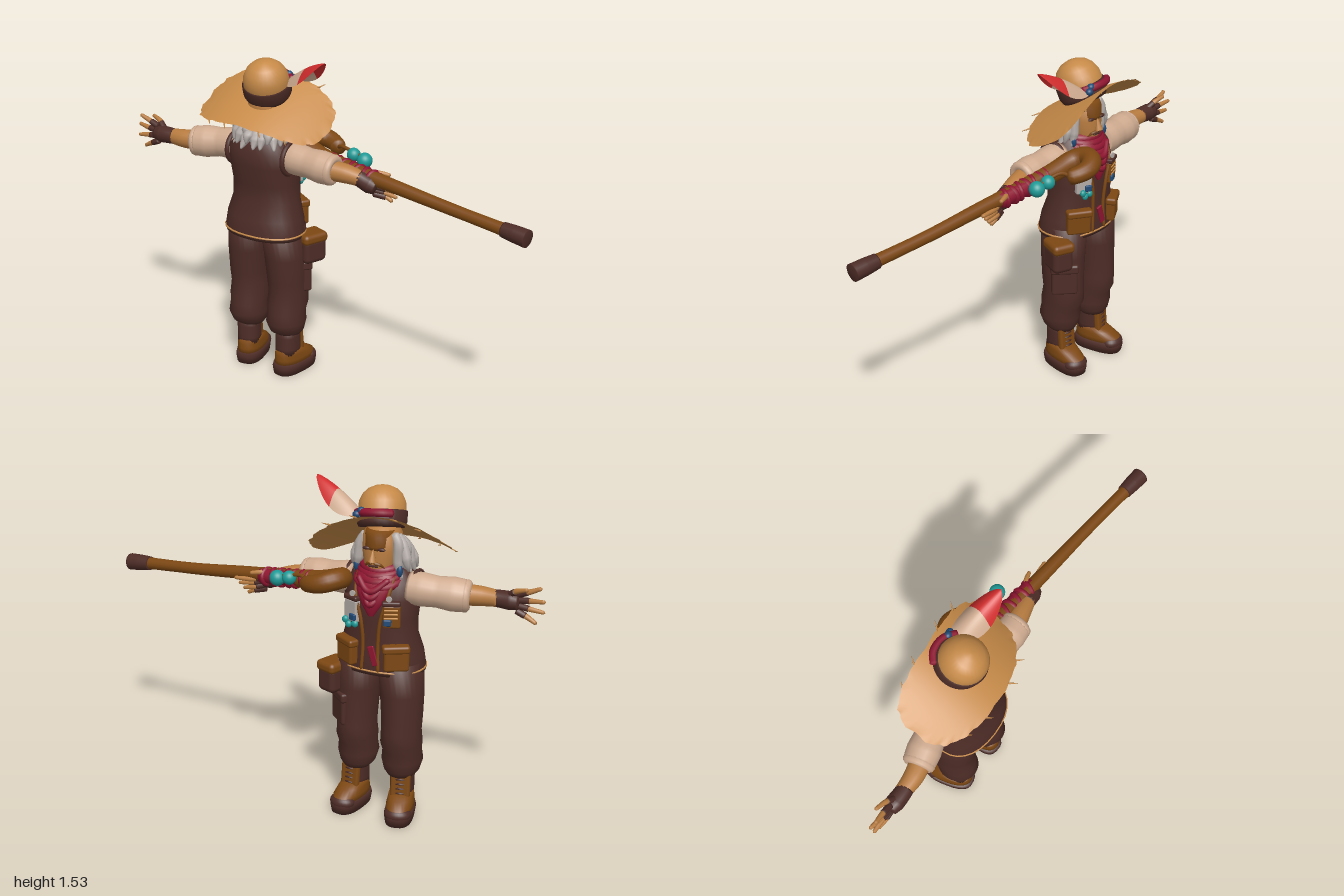
import * as THREE from 'three';
import { mergeVertices } from 'three/addons/utils/BufferGeometryUtils.js';
import { RoundedBoxGeometry } from 'three/addons/geometries/RoundedBoxGeometry.js';

const mat = (name, color, side = THREE.FrontSide) => {
  const m = new THREE.MeshStandardMaterial({ color, side });
  m.name = name;
  return m;
};
const M = {
  straw: mat('straw', 0xc68a48, THREE.DoubleSide),
  skin: mat('skin', 0xb87c40),
  dark: mat('dark brown cloth', 0x4d2c26),
  wood: mat('brown leather and wood', 0x7c4712),
  crimson: mat('crimson cloth', 0x8e1530, THREE.DoubleSide),
  teal: mat('teal', 0x1f9a96),
  cream: mat('cream cloth', 0xcfab90, THREE.DoubleSide),
  grey: mat('grey hair', 0xb4aca8),
  red: mat('bright red', 0xd02c2c, THREE.DoubleSide),
  blue: mat('blue', 0x214a75),
};
const V = (p) => new THREE.Vector3(...p);
const pw = (v, p) => Math.sign(v) * Math.abs(v) ** p;

function smooth(g) {
  g.deleteAttribute('uv');
  g.deleteAttribute('normal');
  g = mergeVertices(g, 1e-5);
  g.computeVertexNormals();
  return g;
}

// Upright body from elliptical rings [y, cx, cz, rx, rz]; p below 1 squares the section
function loft(rings, p = 1, sides = 28) {
  const all = [rings[0], ...rings, rings[rings.length - 1]];
  const n = all.length;
  const g = new THREE.LatheGeometry(all.map((r, j) => new THREE.Vector2(j && j < n - 1 ? 1 : 0, r[0])), sides);
  const a = g.attributes.position;
  for (let i = 0; i < a.count; i++) {
    const [y, cx, cz, rx, rz] = all[i % n];
    a.setXYZ(i, cx + pw(a.getX(i), p) * rx, y, cz + pw(a.getZ(i), p) * rz);
  }
  return smooth(g);
}

// Closed tube along a curve with changing radius
function sweep(pts, radii, sides = 12, segs = pts.length * 6) {
  const curve = new THREE.CatmullRomCurve3(pts.map(V));
  const g = new THREE.TubeGeometry(curve, segs, 1, sides);
  const a = g.attributes.position, v = new THREE.Vector3();
  for (let i = 0; i <= segs; i++) {
    const c = curve.getPointAt(i / segs);
    const f = (i / segs) * (radii.length - 1), k = Math.min(Math.floor(f), radii.length - 2);
    const r = i === 0 || i === segs ? 0 : THREE.MathUtils.lerp(radii[k], radii[k + 1], f - k);
    for (let j = 0; j <= sides; j++) {
      const n = i * (sides + 1) + j;
      v.fromBufferAttribute(a, n).sub(c).multiplyScalar(r).add(c);
      a.setXYZ(n, v.x, v.y, v.z);
    }
  }
  return smooth(g);
}

function add(parent, name, geo, material, pos = [0, 0, 0], rot = [0, 0, 0], scale = [1, 1, 1]) {
  const m = new THREE.Mesh(geo, material);
  m.name = name;
  m.position.set(...pos);
  m.rotation.set(...rot);
  m.scale.set(...scale);
  parent.add(m);
  return m;
}
const box = (x, y, z, r = 0.012) => new RoundedBoxGeometry(x, y, z, 3, r);
const ball = new THREE.SphereGeometry(1, 24, 16);

function buildLegs(body) {
  for (const s of [1, -1]) {
    const z = 0.108 * s;
    add(body, 'trouserLeg', loft([
      [0.2, 0, z, 0.06, 0.06], [0.225, -0.01, z, 0.085, 0.08], [0.27, -0.015, z, 0.1, 0.092],
      [0.32, -0.01, z, 0.096, 0.086], [0.36, 0, z, 0.105, 0.092], [0.42, 0.005, z, 0.1, 0.088],
      [0.48, 0, z, 0.103, 0.09], [0.6, -0.005, z * 0.96, 0.108, 0.096], [0.75, -0.01, z * 0.85, 0.115, 0.1]]), M.dark);
    const boot = new THREE.Group();
    boot.name = 'boot';
    boot.position.set(0.012, 0, 0.118 * s);
    boot.rotation.y = s > 0 ? -0.12 : 0.25;
    body.add(boot);
    add(boot, 'sole', loft([[0, 0.02, 0, 0.118, 0.062], [0.035, 0.02, 0, 0.124, 0.067], [0.055, 0.02, 0, 0.118, 0.063]], 0.75), M.dark);
    add(boot, 'bootUpper', loft([[0.045, 0.02, 0, 0.115, 0.061], [0.075, 0.018, 0, 0.112, 0.061], [0.1, -0.002, 0, 0.09, 0.057],
      [0.12, -0.02, 0, 0.065, 0.053]], 0.85), M.wood);
    add(boot, 'bootShaft', loft([[0.1, -0.026, 0, 0.062, 0.053], [0.13, -0.024, 0, 0.059, 0.054], [0.19, -0.024, 0, 0.059, 0.055], [0.24, -0.022, 0, 0.056, 0.054]], 0.85), M.dark);
    add(boot, 'tongue', box(0.03, 0.13, 0.09), M.wood, [0.027, 0.16, 0], [0, 0, 0.1]);
    add(boot, 'toeCap', ball, M.dark, [0.094, 0.048, 0], [0, 0, 0], [0.049, 0.036, 0.06]);
    for (let i = 0; i < 4; i++)
      add(boot, 'lace', sweep([[0.036 - i * 0.002, 0.12 + i * 0.022, -0.03], [0.047 - i * 0.002, 0.125 + i * 0.022, 0], [0.036 - i * 0.002, 0.12 + i * 0.022, 0.03]], [0.005, 0.005], 6), M.dark);
  }
  // thigh pocket
  add(body, 'thighPocket', box(0.12, 0.14, 0.05), M.dark, [0.055, 0.495, 0.16], [0, 0.85, 0]);
  add(body, 'thighPocketFlap', box(0.13, 0.045, 0.06), M.dark, [0.055, 0.555, 0.16], [0, 0.85, 0]);
}

function buildTorso(body) {
  add(body, 'vest', loft([[0.7, -0.02, 0, 0.135, 0.195], [0.72, -0.02, 0, 0.138, 0.197], [0.79, -0.015, 0, 0.13, 0.188],
    [0.87, -0.005, 0, 0.114, 0.165], [0.95, -0.005, 0, 0.118, 0.162], [1.04, -0.015, 0, 0.125, 0.168],
    [1.11, -0.025, 0, 0.113, 0.165], [1.16, -0.025, 0, 0.085, 0.125], [1.19, -0.02, 0, 0.055, 0.06]], 0.9), M.dark);
  add(body, 'hemTrim', loft([[0.714, -0.02, 0, 0.138, 0.197], [0.716, -0.02, 0, 0.142, 0.201], [0.721, -0.02, 0, 0.142, 0.201], [0.723, -0.02, 0, 0.137, 0.196]], 0.9), M.straw);
  for (const s of [1, -1]) {
    add(body, 'vestEdge', sweep([[0.115, 0.71, 0.04 * s], [0.11, 0.84, 0.035 * s], [0.114, 0.95, 0.045 * s], [0.105, 1.06, 0.075 * s], [0.06, 1.15, 0.085 * s]], [0.008, 0.008], 8), M.wood);
    add(body, 'hipPocket', box(0.045, 0.1, 0.11), M.wood, [0.095, 0.785, 0.115 * s], [0, -0.55 * s, 0]);
    add(body, 'hipPocketFlap', box(0.05, 0.035, 0.12), M.wood, [0.1, 0.835, 0.115 * s], [0, -0.55 * s, 0]);
    add(body, 'chestPocket', box(0.03, 0.1, 0.075, 0.008), s > 0 ? M.grey : M.wood, [0.1, 0.98, 0.092 * s], [0, -0.4 * s, 0]);
    add(body, 'chestPocketFlap', box(0.03, 0.022, 0.08, 0.008), M.dark, [0.106, 1.038, 0.092 * s], [0, -0.4 * s, 0]);
    add(body, 'badge', new THREE.CylinderGeometry(0.013, 0.013, 0.008, 16), M.grey, [0.115, 1.06, 0.085 * s], [0, 0, Math.PI / 2]);
    add(body, 'bluePatch', box(0.02, 0.03, 0.035, 0.006), M.blue, [0.119, 0.955, 0.08 * s], [0, -0.4 * s, 0]);
    add(body, 'armholeTrim', new THREE.TorusGeometry(0.072, 0.011, 8, 24), M.dark, [-0.025, 1.08, 0.152 * s]);
  }
  for (const [y, z] of [[0.925, 0.07], [0.92, 0.1], [0.94, 0.115]])
    add(body, 'tealCharm', ball, M.teal, [0.12, y, z], [0, 0, 0], [0.012, 0.016, 0.015]);
  for (let i = 0; i < 3; i++)
    add(body, 'pocketStripe', box(0.012, 0.008, 0.06, 0.003), M.straw, [0.113, 0.975 + i * 0.018, -0.094], [0, 0.4, 0]);
  add(body, 'waistRag', box(0.012, 0.09, 0.03, 0.004), M.crimson, [0.115, 0.79, -0.015], [0.3, 0, 0]);
  // side pouch
  add(body, 'pouch', box(0.12, 0.12, 0.1, 0.025), M.dark, [0.055, 0.63, 0.2], [0, -0.35, 0]);
  add(body, 'pouchFlap', box(0.13, 0.05, 0.108, 0.02), M.wood, [0.056, 0.69, 0.2], [0, -0.35, 0]);
  // scarf: stacked folds and a hanging front
  for (let i = 0; i < 4; i++)
    add(body, 'scarfFold', new THREE.TorusGeometry(0.068 + i * 0.006, 0.022, 10, 28), M.crimson, [0.005 + i * 0.006, 1.175 - i * 0.017, 0], [Math.PI / 2, -0.15 - 0.06 * i, 0], [1, 1.08, 1]);
  add(body, 'scarfFront', loft([[0.97, 0.112, 0, 0.006, 0.012], [1.02, 0.108, 0, 0.022, 0.045], [1.08, 0.09, 0, 0.038, 0.078], [1.15, 0.06, 0, 0.04, 0.085]]), M.crimson);
  for (let i = 0; i < 3; i++)
    add(body, 'scarfCrease', sweep([[0.09, 1.14 - i * 0.03, -0.075 + i * 0.015], [0.128, 1.085 - i * 0.03, 0], [0.09, 1.14 - i * 0.03, 0.075 - i * 0.015]], [0.012, 0.015, 0.012], 8), M.crimson);
}

function buildHead(body) {
  add(body, 'head', loft([[1.135, 0.05, 0, 0.02, 0.025], [1.155, 0.035, 0, 0.055, 0.052], [1.19, 0.018, 0, 0.075, 0.072],
    [1.25, 0.008, 0, 0.086, 0.083], [1.31, 0, 0, 0.088, 0.084], [1.35, -0.01, 0, 0.06, 0.06]]), M.skin);
  add(body, 'browShade', loft([[1.255, 0.012, 0, 0.084, 0.06], [1.27, 0.012, 0, 0.087, 0.07], [1.31, 0.008, 0, 0.089, 0.07], [1.335, 0.006, 0, 0.08, 0.065]]), M.wood);
  add(body, 'nose', new THREE.ConeGeometry(0.018, 0.06, 10), M.skin, [0.1, 1.238, 0], [0, 0, 0.2]);
  add(body, 'mouth', box(0.008, 0.009, 0.045, 0.003), M.dark, [0.094, 1.187, 0]);
  for (const s of [1, -1]) {
    add(body, 'eye', ball, M.dark, [0.089, 1.262, 0.034 * s], [0, 0, 0], [0.009, 0.008, 0.018]);
    add(body, 'ear', ball, M.skin, [0, 1.245, 0.086 * s], [0, 0, 0], [0.018, 0.03, 0.014]);
    add(body, 'moustache', sweep([[0.1, 1.202, 0.004 * s], [0.092, 1.197, 0.026 * s], [0.076, 1.178, 0.046 * s]], [0.007, 0.007, 0.002], 6), M.wood);
    add(body, 'earBead', ball, M.blue, [0.045, 1.165, 0.1 * s], [0, 0, 0], [0.014, 0.026, 0.014]);
  }
  // hair cap and loose locks round the sides and back, kept below the tilted hat
  add(body, 'hairCap', ball, M.grey, [-0.025, 1.22, 0], [0, 0, 0], [0.08, 0.06, 0.088]);
  for (let i = 0; i < 19; i++) {
    const a = 0.95 + (i / 18) * (2 * Math.PI - 1.9), c = Math.cos(a), s = Math.sin(a), d = 0.018 * Math.sin(i * 2.3);
    const top = 1.29 + 0.05 * c - 0.008 * s;
    add(body, 'hairLock', sweep([[-0.01 + 0.07 * c, top, 0.075 * s], [-0.02 + 0.095 * c, top - 0.045, 0.106 * s],
      [-0.02 + (0.105 + d) * c, 1.19, (0.118 + d) * s], [-0.03 + 0.125 * c, 1.14 + d, 0.138 * s]], [0.02, 0.024, 0.023, 0.004], 8), M.grey);
  }
}

function buildHat(body) {
  const hat = new THREE.Group();
  hat.name = 'hat';
  hat.position.set(-0.012, 1.315, 0);
  hat.rotation.set(0.1, 0.1, 0.48, 'YXZ');
  body.add(hat);
  // brim: long squared oval, drooping at the sides, with a frayed edge
  const brim = new THREE.RingGeometry(0.2, 1, 96, 12);
  const a = brim.attributes.position;
  for (let i = 0; i < a.count; i++) {
    const r = Math.hypot(a.getX(i), a.getY(i)), t = Math.atan2(-a.getY(i), a.getX(i));
    const fray = r > 0.99 ? 1 + 0.012 * Math.sin(t * 17) + 0.01 * Math.sin(t * 29) : 1;
    const x = r * pw(Math.cos(t), 0.65), z = r * pw(Math.sin(t), 0.75);
    a.setXYZ(i, x * 0.188 * fray, 0.022 - 0.1 * z * z - 0.005 * x * x, z * 0.312 * fray);
  }
  add(hat, 'brim', smooth(brim), M.straw);
  for (let i = 0; i < 8; i++) {
    const t = (i < 4 ? -0.7 : 2.6) + (i % 4) * 0.4, c = pw(Math.cos(t), 0.65), s = pw(Math.sin(t), 0.75);
    const y = 0.016 - 0.095 * s * s;
    add(hat, 'looseStraw', sweep([[0.18 * c, y, 0.3 * s], [0.22 * c, y + 0.004, 0.305 * s + 0.03]], [0.005, 0.001], 5, 4), M.straw);
  }
  const top = new THREE.Group();
  top.name = 'crown';
  top.position.set(0.04, 0.024, 0);
  top.rotation.z = -0.16;
  hat.add(top);
  add(top, 'crownDome', loft([[0.03, 0, 0, 0.104, 0.1], [0.055, -0.003, 0, 0.105, 0.102], [0.09, -0.004, 0, 0.101, 0.099], [0.122, -0.005, 0, 0.085, 0.084],
    [0.145, -0.005, 0, 0.06, 0.06], [0.158, -0.005, 0, 0.028, 0.028], [0.161, -0.005, 0, 0.005, 0.005]]), M.straw);
  add(top, 'hatBand', loft([[-0.018, 0, 0, 0.1, 0.098], [0.005, 0, 0, 0.111, 0.108], [0.05, -0.003, 0, 0.111, 0.108], [0.055, -0.003, 0, 0.104, 0.101]]), M.dark);
  add(top, 'bandRibbon', sweep([[0.07, 0.04, 0.09], [0.11, 0.038, 0.035], [0.113, 0.036, -0.035], [0.08, 0.036, -0.082]], [0.017, 0.017], 8), M.crimson);
  for (const [y, z] of [[0.03, 0.075], [0.045, 0.055]])
    add(top, 'hatBead', ball, M.blue, [0.102, y, z], [0, 0, 0], [0.016, 0.016, 0.018]);
}

// Feather as a cupped leaf; one piece per colour
function feather(from, to) {
  const g = new THREE.PlaneGeometry(1, 1, 14, 14), a = g.attributes.position;
  for (let i = 0; i < a.count; i++) {
    const u = a.getX(i) * 2, t = THREE.MathUtils.lerp(from, to, a.getY(i) + 0.5);
    const w = 0.064 * Math.sin(Math.PI * Math.min(1, 0.08 + t * 0.92)) ** 0.6;
    a.setXYZ(i, 0.058 - 0.02 * t + u * w, 1.395 + 0.21 * t - 0.075 * t * t - 0.065 * u * u * Math.sin(Math.PI * t), -0.26 + 0.25 * t);
  }
  return smooth(g);
}

function buildArms(root) {
  const arm = (name, sleeve, fore, glove) => {
    add(root, name + 'Sleeve', sweep(sleeve, [0.07, 0.073, 0.067, 0.074, 0.068], 18, 24), M.cream);
    const [p, q] = sleeve.slice(-2).map(V), d = q.clone().sub(p).normalize();
    const cuff = add(root, name + 'Cuff', new THREE.TorusGeometry(0.05, 0.021, 10, 24), M.cream, q.clone().addScaledVector(d, -0.012).toArray());
    cuff.quaternion.setFromUnitVectors(new THREE.Vector3(0, 0, 1), d);
    add(root, name + 'Forearm', sweep(fore, [0.048, 0.043, 0.034], 14), M.skin);
    add(root, name + 'Glove', sweep(glove, [0.036, 0.038, 0.04, 0.03], 14), M.dark);
  };
  const finger = (a, b, c) => {
    add(root, 'fingerGlove', sweep([a, b], [0.015, 0.014], 8), M.dark);
    add(root, 'finger', sweep([a, b, c], [0.011, 0.012, 0.008], 8), M.skin);
  };
  arm('left', [[-0.05, 1.085, -0.42], [-0.085, 1.08, -0.54], [-0.14, 1.07, -0.67]],
    [[-0.13, 1.075, -0.63], [-0.165, 1.075, -0.72], [-0.18, 1.075, -0.8]],
    [[-0.175, 1.075, -0.765], [-0.185, 1.075, -0.81], [-0.195, 1.073, -0.885]]);
  for (let i = 0; i < 4; i++) {
    const y = 1.105 - i * 0.023, f = (1.5 - i) * 0.018, l = [0.1, 0.125, 0.12, 0.09][i];
    finger([-0.192, y, -0.865], [-0.2, y + f * 0.7, -0.865 - l * 0.5], [-0.215 + 0.012 * (i % 2), y + f * 1.6, -0.87 - l]);
  }
  finger([-0.185, 1.095, -0.83], [-0.175, 1.125, -0.87], [-0.172, 1.145, -0.93]);

  arm('right', [[-0.02, 1.085, -0.19], [-0.005, 1.075, -0.07], [0.02, 1.065, 0.065]],
    [[0.015, 1.065, 0.03], [0.05, 1.055, 0.12], [0.075, 1.04, 0.19]],
    [[0.065, 1.05, 0.16], [0.08, 1.03, 0.2], [0.095, 1.01, 0.25]]);
  for (let i = 0; i < 4; i++) {
    const y = 1.035 - i * 0.018;
    finger([0.095, y, 0.225], [0.125, y - 0.012, 0.27 + 0.01 * (i % 2)], [0.155 - i * 0.008, y - 0.016 - i * 0.004, 0.37 - i * 0.02]);
  }
  finger([0.09, 1.05, 0.2], [0.13, 1.065, 0.225], [0.158, 1.06, 0.275]);
}

function buildStaff(root) {
  const staff = new THREE.Group();
  staff.name = 'staff';
  root.add(staff);
  add(staff, 'shaft', sweep([[0.166, 0.973, 0.99], [0.14, 1.005, 0.62], [0.11, 1.04, 0.3], [0.093, 1.06, 0.08], [0.085, 1.08, -0.07],
    [0.09, 1.11, -0.17], [0.13, 1.13, -0.205], [0.18, 1.13, -0.195], [0.212, 1.115, -0.15], [0.205, 1.1, -0.09], [0.18, 1.09, -0.06]],
  [0.03, 0.027, 0.026, 0.027, 0.029, 0.031, 0.036, 0.042, 0.046, 0.044, 0.034], 16, 90), M.wood);
  add(staff, 'endCap', sweep([[0.168, 0.97, 1], [0.164, 0.976, 0.94], [0.159, 0.982, 0.875]], [0.039, 0.037, 0.032], 16, 30), M.dark);
  add(staff, 'wrap', sweep([[0.112, 1.04, 0.26], [0.1, 1.055, 0.12], [0.089, 1.07, -0.02]], [0.034, 0.036, 0.036], 14), M.crimson);
  for (let i = 0; i < 7; i++)
    add(staff, 'wrapTurn', new THREE.TorusGeometry(0.033, 0.012, 8, 20), M.crimson, [0.088 + i * 0.003, 1.069 - i * 0.0045, -0.015 + i * 0.038], [0.15, i % 2 ? 0.2 : -0.2, 0]);
  // hanging beads
  add(staff, 'cord', sweep([[0.19, 1.1, -0.07], [0.175, 1.115, -0.03], [0.18, 1.09, 0.1]], [0.009, 0.007], 8), M.wood);
  add(staff, 'smallBead', ball, M.teal, [0.176, 1.093, 0.038], [0, 0, 0], [0.031, 0.031, 0.031]);
  add(staff, 'largeBead', ball, M.teal, [0.18, 1.08, 0.1], [0, 0, 0], [0.035, 0.035, 0.035]);
}

export function createModel() {
  const root = new THREE.Group();
  root.name = 'wanderer';
  const body = new THREE.Group();
  body.name = 'body';
  body.position.set(-0.03, 0, -0.305);
  body.rotation.y = 0.17;
  root.add(body);
  buildLegs(body);
  buildTorso(body);
  buildHead(body);
  buildHat(body);
  add(root, 'featherVane', feather(0, 0.54), M.cream);
  add(root, 'featherTip', feather(0.54, 1), M.red);
  buildArms(root);
  buildStaff(root);
  return root;
}
